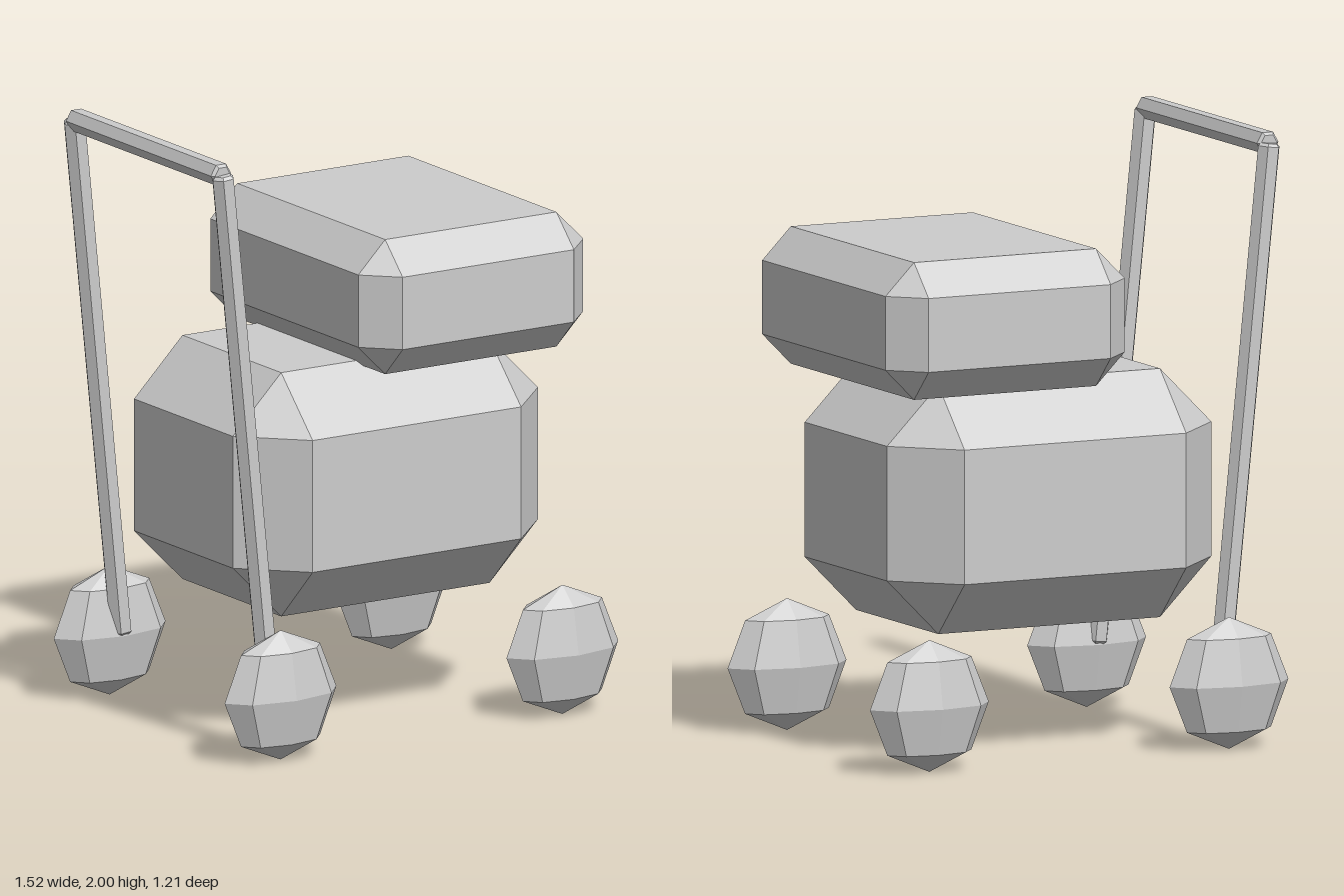
import * as THREE from 'three';
import { ConvexGeometry } from 'three/addons/geometries/ConvexGeometry.js';

const grey = new THREE.MeshStandardMaterial({ color: 0xcccccc });
grey.name = 'light grey';

// Box with all edges and corners cut by c; w, h, d are overall sizes
function chamferBox(w, h, d, c) {
  const points = [];
  for (const sx of [-1, 1]) for (const sy of [-1, 1]) for (const sz of [-1, 1]) {
    for (let axis = 0; axis < 3; axis++) {
      const p = [w / 2, h / 2, d / 2].map((v, i) => (i === axis ? v : v - c));
      points.push(new THREE.Vector3(sx * p[0], sy * p[1], sz * p[2]));
    }
  }
  return new ConvexGeometry(points);
}

// Give every triangle its own flat normal
function faceted(geometry) {
  const g = geometry.toNonIndexed();
  g.computeVertexNormals();
  return g;
}

// Six-sided bar with slightly bevelled ends, centred on its own y axis
function barGeometry(length) {
  const r = 0.039, b = 0.01, h = length / 2;
  const profile = [[0, -h], [r - b, -h], [r, b - h], [r, h - b], [r - b, h], [0, h]];
  return faceted(new THREE.LatheGeometry(profile.map(([x, y]) => new THREE.Vector2(x, y)), 6, Math.PI / 6));
}

export function createModel() {
  const model = new THREE.Group();
  const add = (name, geometry, x, y, z) => {
    const mesh = new THREE.Mesh(geometry, grey);
    mesh.name = name;
    mesh.position.set(x, y, z);
    model.add(mesh);
    return mesh;
  };

  // Main body and the overhanging head box
  add('body', chamferBox(1.18, 0.815, 0.96, 0.187), 0, 0.822, 0);
  add('head', chamferBox(0.87, 0.45, 1.086, 0.104), 0.235, 1.438, 0);

  // Flattened faceted wheels
  const wheel = new THREE.SphereGeometry(1, 8, 4);
  wheel.scale(0.216, 0.216, 0.097);
  const wheelGeometry = faceted(wheel);
  for (const x of [-0.545, 0.545]) for (const z of [-0.507, 0.507]) {
    add('wheel', wheelGeometry, x, 0.218, z);
  }

  // Push handle: two leaning posts and a crossbar
  const foot = new THREE.Vector2(-0.545, 0.22), top = new THREE.Vector2(-0.725, 1.966);
  const post = barGeometry(foot.distanceTo(top));
  const lean = Math.atan2(foot.x - top.x, top.y - foot.y);
  for (const z of [-0.44, 0.44]) {
    add('handlePost', post, (foot.x + top.x) / 2, (foot.y + top.y) / 2, z).rotation.z = lean;
  }
  add('handleBar', barGeometry(0.88), top.x, top.y, 0).rotation.x = Math.PI / 2;

  return model;
}
